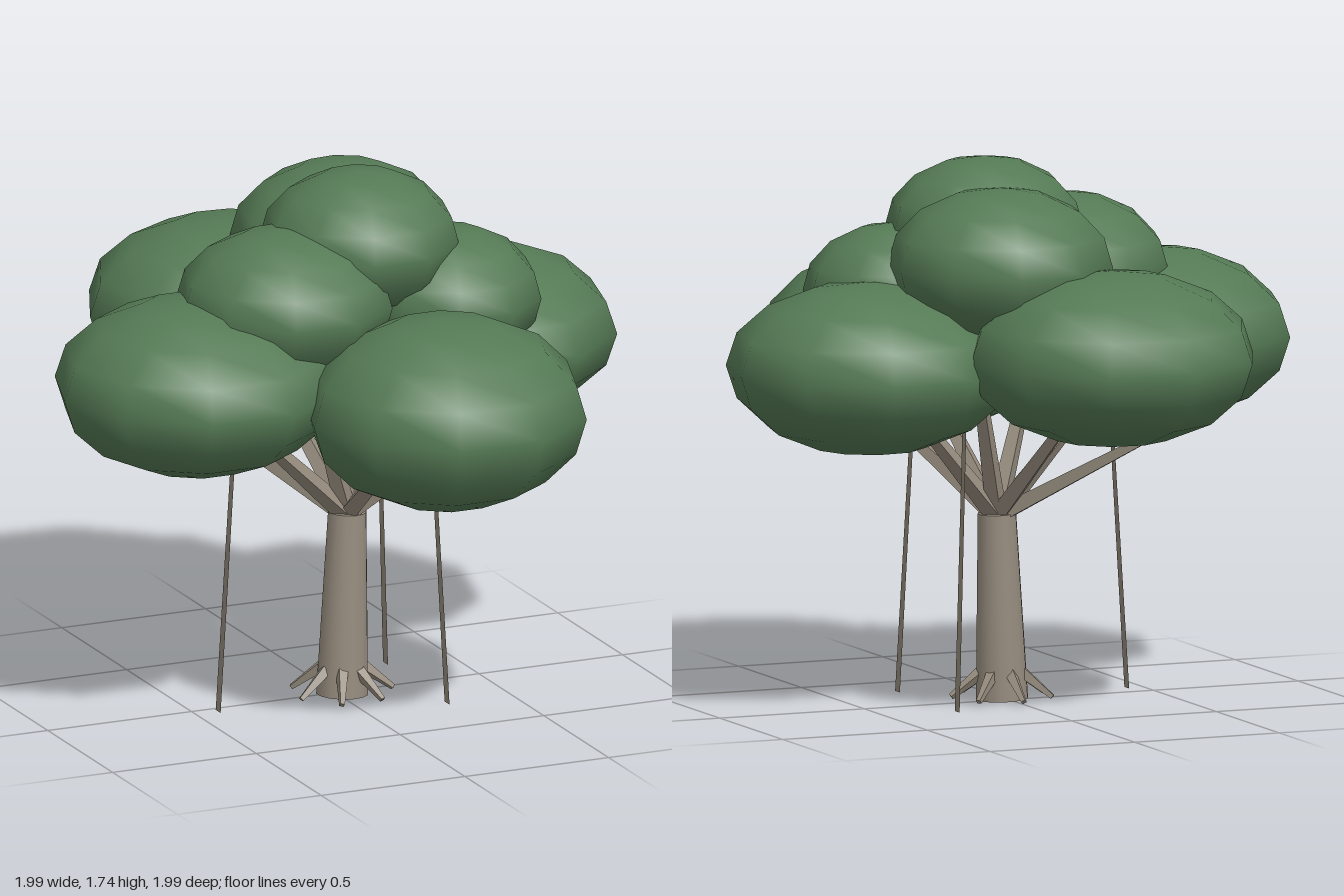
import * as THREE from 'three';

export function createModel() {
  const tree = new THREE.Group();
  tree.name = 'tree';

  const leafGreen = new THREE.MeshStandardMaterial({ color: 0x557a55 });
  leafGreen.name = 'leafGreen';
  const barkBrown = new THREE.MeshStandardMaterial({ color: 0x968c7e, side: THREE.DoubleSide });
  barkBrown.name = 'barkBrown';

  const group = (name) => {
    const g = new THREE.Group();
    g.name = name;
    tree.add(g);
    return g;
  };
  const add = (parent, geometry, material, name) => {
    const mesh = new THREE.Mesh(geometry, material);
    mesh.name = name;
    parent.add(mesh);
    return mesh;
  };

  // Tapered limb between two points
  function limb(parent, a, b, r0, r1, sides, name) {
    const from = new THREE.Vector3(...a), to = new THREE.Vector3(...b);
    const dir = to.clone().sub(from);
    let geo = new THREE.CylinderGeometry(r1, r0, dir.length(), sides);
    if (sides < 6) {
      geo = geo.toNonIndexed();
      geo.computeVertexNormals();
    }
    const mesh = add(parent, geo, barkBrown, name);
    mesh.position.copy(from).add(to).multiplyScalar(0.5);
    mesh.quaternion.setFromUnitVectors(new THREE.Vector3(0, 1, 0), dir.normalize());
    return mesh;
  }

  // Trunk, leaning slightly
  limb(tree, [0.015, 0.003, 0.02], [0.037, 0.6, 0.01], 0.084, 0.062, 14, 'trunk');

  // Small roots splayed around the base
  const roots = group('roots');
  for (let i = 0; i < 7; i++) {
    const a = (i / 7) * Math.PI * 2 + 0.2, c = Math.cos(a), s = Math.sin(a);
    limb(roots, [0.015 + 0.065 * c, 0.09, 0.02 + 0.065 * s],
      [0.015 + 0.165 * c, 0.012, 0.02 + 0.165 * s], 0.022, 0.01, 4, 'root');
  }

  // Branches fanning out from the trunk top
  const branches = group('branches');
  const tips = [
    [-0.45, 1.05, 0.12], [0.45, 1.05, -0.1], [0.1, 1.02, 0.48], [-0.08, 1.05, -0.46],
    [-0.37, 0.91, -0.42], [0.32, 0.93, 0.34], [0.22, 1.2, -0.22], [-0.18, 1.2, 0.15],
  ];
  for (const tip of tips) limb(branches, [0.037, 0.59, 0.01], tip, 0.036, 0.016, 4, 'branch');

  // Thin flat hanging roots, edge-on to the front
  const hangers = group('hangingRoots');
  for (const [x, z] of [[0.27, 0.265], [0.27, -0.21], [-0.43, 0.05]]) {
    const geo = new THREE.PlaneGeometry(0.038, 0.92);
    geo.rotateY(Math.PI / 2);
    geo.translate(0, 0.465, 0);
    const p = geo.attributes.position;
    for (let i = 0; i < p.count; i++) {
      const t = p.getY(i) / 0.92; // lean towards the trunk while narrowing
      p.setX(i, x * (1 - 0.14 * t));
      p.setZ(i, z * (1 - 0.14 * t) + p.getZ(i) * (1 - 0.2 * t));
    }
    geo.computeVertexNormals();
    add(hangers, geo, barkBrown, 'hangingRoot');
  }

  // Leaf clumps: x, y, z, horizontal radius, vertical radius, turn
  const canopy = group('canopy');
  const clumps = [
    [0.127, 1.075, 0.57, 0.457, 0.305, 0],
    [-0.54, 1.125, 0.13, 0.46, 0.28, 0],
    [0.53, 1.11, -0.11, 0.46, 0.275, 0.08],
    [-0.125, 1.16, -0.53, 0.47, 0.28, -0.1],
    [-0.235, 1.36, 0.13, 0.35, 0.24, 0],
    [0.335, 1.31, 0.115, 0.305, 0.225, 0.05],
    [0.13, 1.43, -0.23, 0.36, 0.25, 0.1],
    [0.06, 1.51, 0.055, 0.32, 0.23, 0.05],
  ];
  for (const [x, y, z, r, h, turn] of clumps) {
    const geo = new THREE.SphereGeometry(1, 10, 8);
    geo.scale(r, h, r);
    const clump = add(canopy, geo, leafGreen, 'leafClump');
    clump.position.set(x, y, z);
    clump.rotation.y = turn;
  }

  return tree;
}
